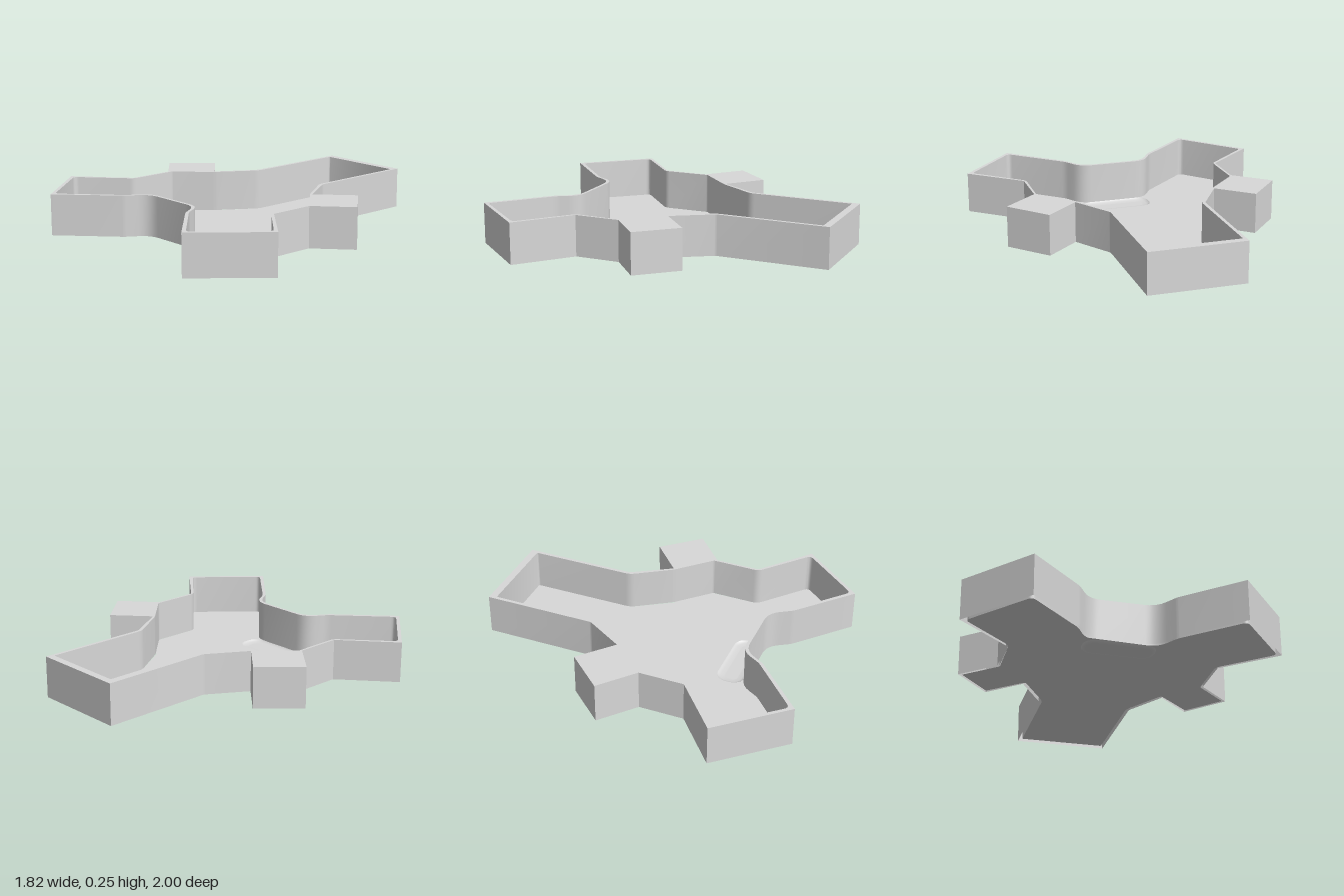
import * as THREE from 'three';
import { toCreasedNormals } from 'three/addons/utils/BufferGeometryUtils.js';

const BASE = 0.012, TOP = 0.254;

// Half outlines on the +x side, front to back: [x, z, corner cut]
const OUTER = [
  [0.195, 0.587, 0.07], [0.275, 0.715, 0.015], [0.585, 1, 0], [0.91, 0.63, 0], [0.615, 0.38, 0],
  [0.615, 0.112, 0], [0.815, -0.062, 0], [0.62, -0.277, 0], [0.425, -0.103, 0], [0.283, -0.333, 0.012], [0.283, -1, 0],
];
const INNER = [
  [0.207, 0.57, 0.07], [0.278, 0.692, 0.025], [0.585, 0.97, 0.03], [0.88, 0.632, 0.03], [0.6, 0.387, 0.03],
  [0.603, 0.095, 0.01], [0.412, -0.097, 0.015], [0.263, -0.325, 0.03], [0.263, -0.957, 0.01],
];
// The floor follows the inner outline but also runs under the side blocks
const FLOOR = [
  ...INNER.slice(0, 5), [0.6, 0.103, 0.01], [0.792, -0.062, 0.01], [0.62, -0.253, 0.01],
  [0.415, -0.08, 0.02], ...INNER.slice(7),
];

// Mirrored outline with softened corners, counterclockwise in (x, -z)
function outline(half) {
  const all = [...half, ...half.map(([x, z, r]) => [-x, z, r]).reverse()];
  const points = [];
  all.forEach(([x, z, r], i) => {
    const p = new THREE.Vector2(x, -z);
    if (!r) { points.push(p); return; }
    const cut = (q) => new THREE.Vector2(q[0], -q[1]).sub(p).setLength(r).add(p);
    const a = cut(all[(i + all.length - 1) % all.length]);
    const b = cut(all[(i + 1) % all.length]);
    points.push(...new THREE.QuadraticBezierCurve(a, p, b).getPoints(5));
  });
  return points;
}

// Rounded rectangle of the recess, shrunk by an inset
function slotOutline(inset) {
  const w = 0.21 - inset, h = 0.083 - inset, r = 0.07 - inset, cz = -0.488;
  const points = [];
  [[1, 1], [-1, 1], [-1, -1], [1, -1]].forEach(([sx, sy], q) => {
    for (let i = 0; i <= 8; i++) {
      const a = (q + i / 8) * Math.PI / 2;
      points.push(new THREE.Vector2(sx * (w - r) + r * Math.cos(a), cz + sy * (h - r) + r * Math.sin(a)));
    }
  });
  return points;
}

// Skin between successive loops of [points, y]
function loft(loops) {
  const pos = [];
  for (let k = 0; k + 1 < loops.length; k++) {
    const [low, y0] = loops[k], [high, y1] = loops[k + 1];
    low.forEach((_, i) => {
      const j = (i + 1) % low.length;
      const a = [low[i].x, y0, -low[i].y], b = [low[j].x, y0, -low[j].y];
      const c = [high[j].x, y1, -high[j].y], d = [high[i].x, y1, -high[i].y];
      pos.push(...a, ...b, ...c, ...a, ...c, ...d);
    });
  }
  const g = new THREE.BufferGeometry();
  g.setAttribute('position', new THREE.Float32BufferAttribute(pos, 3));
  g.computeVertexNormals();
  return toCreasedNormals(g, 0.6);
}

// Level sheet facing up, with an optional opening
function sheet(points, y, hole) {
  const shape = new THREE.Shape(points);
  if (hole) shape.holes.push(new THREE.Path(hole));
  return new THREE.ShapeGeometry(shape).rotateX(-Math.PI / 2).translate(0, y, 0);
}

export function createModel() {
  const model = new THREE.Group();
  model.name = 'tray';
  const grey = new THREE.MeshStandardMaterial({ color: 0xd8d8d8, side: THREE.DoubleSide });
  grey.name = 'grey';
  const add = (name, geometry) => {
    const mesh = new THREE.Mesh(geometry, grey);
    mesh.name = name;
    model.add(mesh);
  };
  const outer = outline(OUTER), inner = outline(INNER);

  // Hollow walls, open underneath
  add('outerWall', loft([[outer, BASE], [outer, TOP]]));
  add('innerWall', loft([[inner, TOP], [inner, BASE]]));
  add('rimAndBlockTops', sheet(outer, TOP, inner));

  // Thin floor with a shallow rounded recess sunk below it
  const rings = [[0, BASE], [0.006, 0.006], [0.02, 0.002], [0.045, 0]].map(([inset, y]) => [slotOutline(inset), y]);
  add('floor', sheet(outline(FLOOR), BASE, rings[0][0]));
  add('recessSide', loft(rings));
  add('recessBottom', sheet(rings[3][0], 0));
  return model;
}
